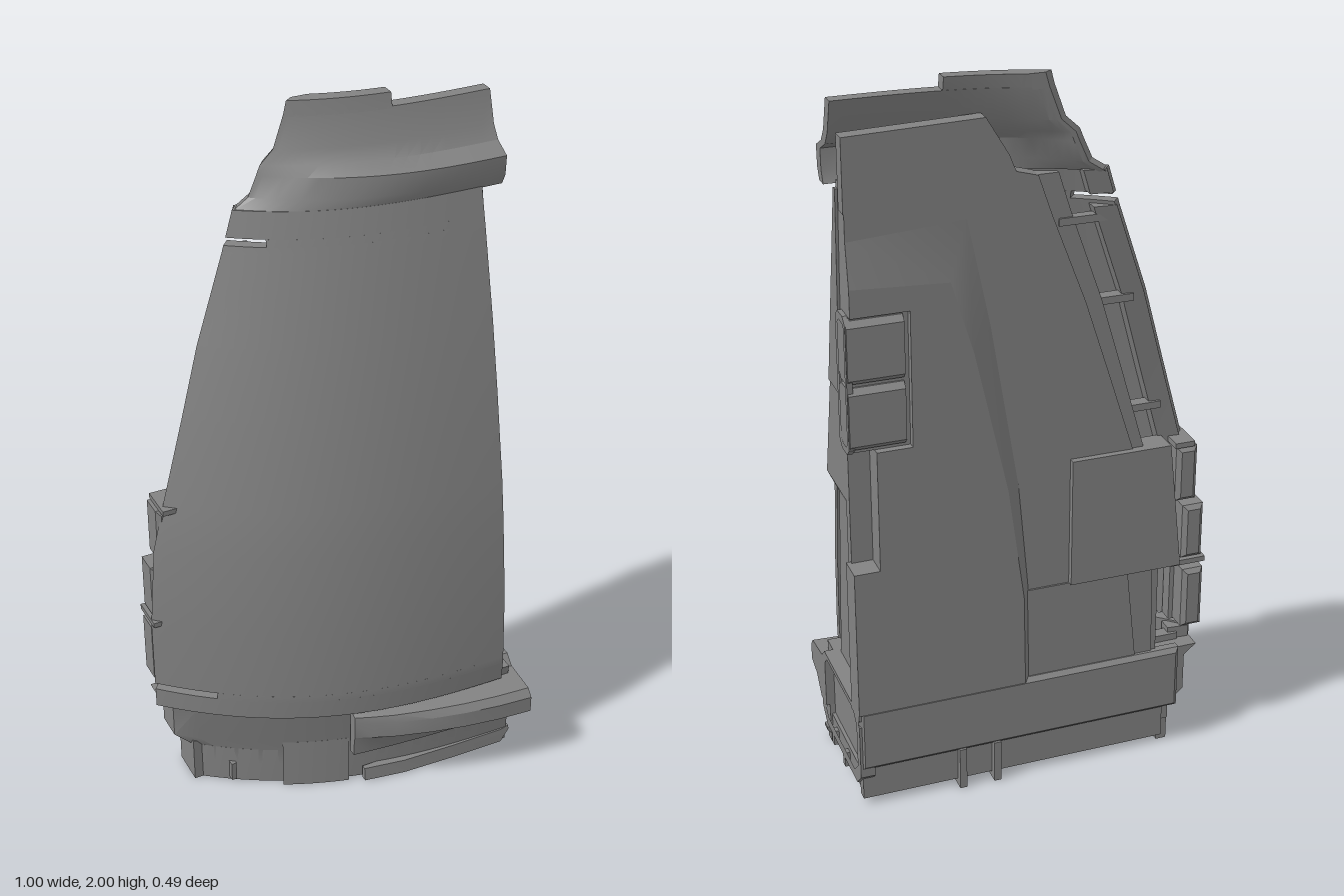
import * as THREE from 'three';
import { toCreasedNormals } from 'three/addons/utils/BufferGeometryUtils.js';

const material = new THREE.MeshStandardMaterial({ color: 0x828282 });

// Outline tables: [y, left x, left z, right z, roundness]
const SHELL = [
  [0.27, -0.5, -0.15, 0.172, 2.75], [0.345, -0.5, -0.15, 0.176, 2.75], [0.57, -0.5, -0.15, 0.165, 2.75],
  [0.81, -0.48, -0.152, 0.137, 2.75], [0.94, -0.447, -0.155, 0.118, 2.75], [1.195, -0.373, -0.17, 0.069, 2.75],
  [1.39, -0.315, -0.188, 0.028, 2.8], [1.63, -0.23, -0.205, -0.03, 2.8], [1.74, -0.195, -0.212, -0.058, 2.8],
];
const CAP = [
  [1.735, -0.195, -0.212, -0.06, 3.2], [1.765, -0.15, -0.213, -0.045, 3], [1.82, -0.125, -0.215, -0.042, 2.7],
  [1.845, -0.115, -0.215, -0.09, 2.8], [1.88, -0.077, -0.217, -0.115, 3], [1.965, -0.045, -0.222, -0.142, 3],
  [2, -0.035, -0.225, -0.15, 3],
];
const BASE = [
  [0, -0.41, -0.13, 0.128, 2.8], [0.12, -0.41, -0.13, 0.135, 2.8], [0.16, -0.455, -0.14, 0.14, 2.8],
  [0.27, -0.455, -0.14, 0.15, 2.8], [0.3, -0.49, -0.15, 0.155, 2.8],
];

function rowAt(table, y) {
  let i = 1;
  while (i < table.length - 1 && table[i][0] < y) i++;
  const a = table[i - 1], b = table[i];
  const k = (y - a[0]) / (b[0] - a[0]);
  return a.map((v, j) => v + (b[j] - v) * k);
}

function curveZ(row, x, right) {
  const t = THREE.MathUtils.clamp((x - row[1]) / (right - row[1]), 0, 1);
  return row[2] + (row[3] - row[2]) * (1 - Math.pow(1 - t, row[4]));
}

function add(group, name, geometry) {
  const mesh = new THREE.Mesh(geometry, material);
  mesh.name = name;
  group.add(mesh);
  return mesh;
}

// Skins even-length rings; each ring's first half faces its second half
function loft(rings) {
  const m = rings[0].length, n = m / 2, index = [];
  rings.slice(1).forEach((_, r) => {
    for (let i = 0; i < m; i++) {
      const a = r * m + i, b = r * m + (i + 1) % m;
      index.push(a, b, b + m, a, b + m, a + m);
    }
  });
  const top = (rings.length - 1) * m;
  for (let i = 0; i < n - 1; i++) {
    const q = [i, i + 1, m - 2 - i, m - 1 - i];
    index.push(...[0, 1, 2, 0, 2, 3].map(k => top + q[k]), ...[0, 2, 1, 0, 3, 2].map(k => q[k]));
  }
  const g = new THREE.BufferGeometry();
  g.setAttribute('position', new THREE.Float32BufferAttribute(rings.flat(2), 3));
  g.setIndex(index);
  return toCreasedNormals(g, 0.45);
}

// Curved skin of constant thickness between heights y0 and y1
function skin(table, y0, y1, right, { from = null, to = right, thick = 0.024, n = 20 } = {}) {
  const ys = [y0, ...table.map(r => r[0]).filter(y => y > y0 + 0.001 && y < y1 - 0.001), y1];
  return loft(ys.map(y => {
    const row = rowAt(table, y), x0 = from ?? row[1], front = [], back = [];
    for (let i = 0; i <= n; i++) {
      const x = x0 + (to - x0) * Math.pow(i / n, 1.25), z = curveZ(row, x, right);
      front.push([x, y, z]);
      back.unshift([x + 0.02 * (1 - i / n), y, Math.max(z - thick, -0.24)]);
    }
    return [...front, ...back];
  }));
}

// Solid behind a curved front, closed by a flat back
function wedge(table, ys, right, { inset = 0, drop = 0, to = right } = {}) {
  const n = 16, back = -0.22;
  return loft(ys.map(y => {
    const row = rowAt(table, y), x0 = row[1] + inset, front = [], rear = [];
    for (let i = 0; i <= n; i++) {
      const x = x0 + (to - x0) * i / n;
      front.push([x, y, Math.max(curveZ(row, x, right) - drop, back + 0.01)]);
      rear.unshift([x, y, back]);
    }
    return [...front, ...rear];
  }));
}

const shapeOf = pts => new THREE.Shape(pts.map(p => new THREE.Vector2(...p)));

// Flat plate drawn in x and y, spanning z0 to z1
function plate(pts, z0, z1, bevel = 0) {
  const g = new THREE.ExtrudeGeometry(shapeOf(pts), {
    depth: z1 - z0 - 2 * bevel, bevelEnabled: bevel > 0, bevelThickness: bevel,
    bevelSize: bevel, bevelOffset: -bevel, bevelSegments: 1,
  });
  return g.translate(0, 0, z0 + bevel);
}

function box(x0, x1, y0, y1, z0, z1, bevel = 0) {
  return plate([[x0, y0], [x1, y0], [x1, y1], [x0, y1]], z0, z1, bevel);
}

// Plate drawn in z and y on the straight side, spanning x0 to x1
function sidePlate(pts, x0, x1, hole) {
  const flip = list => list.map(([z, y]) => [-z, y]);
  const shape = shapeOf(flip(pts));
  if (hole) shape.holes.push(shapeOf(flip(hole)));
  const g = new THREE.ExtrudeGeometry(shape, { depth: x1 - x0, bevelEnabled: false });
  return g.rotateY(Math.PI / 2).translate(x0, 0, 0);
}

const octagon = (z0, z1, y0, y1, c) => [
  [z0 + c, y0], [z1 - c, y0], [z1, y0 + c], [z1, y1 - c], [z1 - c, y1], [z0 + c, y1], [z0, y1 - c], [z0, y0 + c],
];

export function createModel() {
  const model = new THREE.Group();

  // Curved front shell, in bands so that two slots stay open
  const shell = new THREE.Group();
  shell.name = 'frontShell';
  model.add(shell);
  [[0.28, 0.34], [0.34, 0.36, -0.36], [0.36, 1.65], [1.65, 1.67, -0.13], [1.67, 1.74]].forEach(([a, b, from], i) =>
    add(shell, 'shellBand' + (i + 1), skin(SHELL, a, b, 0.44, { from })));

  // Upper cap with bulged lip and raised tab, and the liner plate behind it
  add(model, 'upperCap', skin(CAP, 1.735, 1.965, 0.5, { thick: 0.035 }));
  add(model, 'upperTab', skin(CAP, 1.96, 2, 0.5, { to: 0.225, thick: 0.035 }));
  add(model, 'capRearPlate', plate([[0.49, 1.7], [0.49, 1.89], [0.13, 1.9], [0.07, 1.8], [0.03, 1.7]], -0.225, -0.185));

  // Inner body and the thicker upper side wall
  add(model, 'innerBody', wedge(SHELL, [0.28, 0.57, 0.81, 0.94, 1.195, 1.39, 1.63, 1.74], 0.455, { inset: 0.135, drop: 0.07, to: 0.43 }));
  add(model, 'sideWall', sidePlate([
    [0.03, 0.9], [-0.15, 0.9], [-0.15, 0.28], [-0.18, 0.28], [-0.18, 1.77], [-0.165, 1.77], [-0.04, 1.2],
  ], 0.42, 0.488));
  add(model, 'sideRaisedPanel', sidePlate([[-0.05, 1.2], [-0.15, 1.2], [-0.178, 1.75], [-0.163, 1.75]], 0.48, 0.495));

  // Recessed lower side, sloped at its top and rear
  add(model, 'lowerSideWall', sidePlate([[0.085, 0.28], [-0.15, 0.28], [-0.15, 0.92], [0.025, 0.92]], 0.42, 0.456));
  add(model, 'recessTopSlope', plate([[0.45, 0.83], [0.456, 0.83], [0.488, 0.9], [0.45, 0.905]], -0.15, 0.03));
  add(model, 'recessRearSlope', loft([0.28, 0.9].map(y => [[0.44, y, -0.1], [0.456, y, -0.1], [0.488, y, -0.15], [0.44, y, -0.15]])));
  add(model, 'sideRearRim', box(0.42, 0.5, 0.28, 0.73, -0.24, -0.17));

  // Rear plate with the side notch
  const left = [1.74, 1.63, 1.39, 1.195, 0.94, 0.81, 0.57, 0.3].map(y => [rowAt(SHELL, y)[1] + 0.14 + 0.05 * y / 1.74, y]);
  add(model, 'rearPlate', plate([
    [0.5, 0.3], [0.5, 0.73], [0.43, 0.73], [0.43, 1.07], [0.488, 1.07], [0.488, 1.77], [0.1, 1.77], ...left,
  ], -0.225, -0.18));

  // Raised rear panel and the slope around it
  const rim = [[0.488, 1.515], [0.23, 1.5], [0.17, 1.3], [0.08, 0.9], [0.035, 0.57], [0.03, 0.3]];
  const foot = [[0.488, 1.63], [0.18, 1.65], [0.12, 1.36], [0.045, 0.9], [0.015, 0.57], [0.01, 0.3]];
  add(model, 'rearRaisedPanel', plate([
    [0.5, 0.3], [0.5, 0.73], [0.43, 0.73], [0.43, 1.07], [0.335, 1.07], [0.335, 1.44], [0.488, 1.44], ...rim,
  ], -0.245, -0.2));
  add(model, 'rearPanelSlope', loft(rim.map(([x, y], i) => {
    const [u, v] = foot[i];
    return [[u, v, -0.2], [u, v, -0.225], [x, y, -0.245], [x, y, -0.2]];
  })));
  add(model, 'lowerRearStep', plate([[0.03, 0.3], [0.03, 0.58], [-0.27, 0.58], [-0.3, 0.3]], -0.23, -0.2));

  // Pair of latch blocks above the notch
  const latch = new THREE.Group();
  latch.name = 'rearLatch';
  model.add(latch);
  for (const y of [1.08, 1.26]) add(latch, 'latchBlock', sidePlate(octagon(-0.245, -0.165, y, y + 0.17, 0.015), 0.35, 0.498));
  add(latch, 'latchFrame', sidePlate(octagon(-0.24, -0.155, 1.065, 1.44, 0.02), 0.485, 0.5, octagon(-0.225, -0.175, 1.085, 1.42, 0.01)));

  // Rail behind the curved edge, broken at the slots
  const rail = new THREE.Group();
  rail.name = 'edgeRail';
  model.add(rail);
  for (const [a, b] of [[0.28, 0.335], [0.365, 1.64], [1.675, 1.74]]) {
    const ys = [a, ...SHELL.map(r => r[0]).filter(y => y > a && y < b), b];
    add(rail, 'railSegment', loft(ys.map(y => {
      const [, x, z] = rowAt(SHELL, y);
      return [[x + 0.015, y, z], [x + 0.075, y, z + 0.02], [x + 0.075, y, z - 0.02], [x + 0.015, y, z - 0.025]];
    })));
  }
  // Ribs bridging the rail and the body
  for (const y of [0.3, 0.62, 1.04, 1.37, 1.6]) {
    const [, x, z] = rowAt(SHELL, y);
    add(rail, 'rib', box(x + 0.05, x + 0.18, y, y + 0.02, Math.max(z - 0.03, -0.225), z + 0.005));
  }
  // Rear bracket and edge clips
  add(model, 'rearBracket', plate([[-0.1, 0.58], [-0.1, 0.95], [-0.38, 0.95], [-0.42, 0.58]], -0.243, -0.17));
  for (const [x, y0, y1] of [[-0.497, 0.37, 0.55], [-0.49, 0.59, 0.75], [-0.465, 0.77, 0.93]])
    add(model, 'edgeClip', box(x, x + 0.06, y0, y1, -0.235, -0.15, 0.012));
  for (const y of [0.57, 0.93]) add(model, 'edgeClipLug', box(y < 0.6 ? -0.5 : -0.455, -0.4, y, y + 0.015, -0.23, -0.13));

  // Base: hollow skirt below a solid block
  add(model, 'baseBlock', wedge(BASE, [0.07, 0.12, 0.16, 0.27, 0.3], 0.5, { to: 0.475 }));
  add(model, 'baseSkirt', skin(BASE, 0, 0.12, 0.5, { thick: 0.035, to: 0.49 }));
  add(model, 'baseRearBand', box(-0.43, 0.5, 0.12, 0.31, -0.245, -0.2, 0.012));
  add(model, 'baseRearWall', box(-0.39, 0.49, 0.02, 0.13, -0.225, -0.195));
  add(model, 'baseEndWall', box(-0.41, -0.38, 0, 0.14, -0.215, -0.11));
  add(model, 'baseSideWall', sidePlate([[0.125, 0.03], [-0.22, 0.03], [-0.22, 0.09], [0.125, 0.09]], 0.455, 0.485));
  add(model, 'baseSideFrame', sidePlate(octagon(-0.24, 0.14, 0.06, 0.3, 0.04), 0.46, 0.5, octagon(-0.215, 0.112, 0.09, 0.285, 0.035)));
  for (const x of [0.1, 0.2]) add(model, 'baseRearRib', box(x, x + 0.02, 0, 0.125, -0.245, -0.19));
  for (const z of [-0.08, 0.03]) add(model, 'baseSideLug', box(0.46, 0.5, 0.03, 0.075, z, z + 0.02));
  for (const [x, r] of [[0.3, 0.055], [0.02, 0.04]])
    add(model, 'baseFoot', new THREE.CylinderGeometry(r, r * 0.7, 0.06, 20)).position.set(x, 0.045, -0.03);

  // Lower front column and a small pin beside it
  add(model, 'lowerFrontColumn', skin(BASE.map(r => [r[0], -0.455, -0.14, 0.14, 2.8]), 0, 0.16, 0.5, { from: -0.19, to: -0.01, n: 8 }));
  add(model, 'lowerFrontPin', box(-0.32, -0.305, 0.01, 0.07, -0.09, -0.045));

  // Bumper growing toward the straight side, and a lower lip
  const bumper = [[-0.01, 0.13], [0.04, 0.152], [0.1, 0.175], [0.2, 0.203], [0.3, 0.224], [0.4, 0.238], [0.5, 0.245]];
  add(model, 'bumper', loft(bumper.map(([x, z]) => {
    const k = z - 0.12, p = (f, y) => [x, y, 0.12 + f * k], inner = y => [x, y, 0.1];
    return [p(0.85, 0.262), p(1, 0.24), p(1, 0.19), p(0.6, 0.172), p(0.25, 0.12),
      inner(0.12), inner(0.17), inner(0.19), inner(0.24), inner(0.275)];
  })));
  add(model, 'lowerLip', loft([[0.03, 0.118], [0.15, 0.136], [0.3, 0.14], [0.47, 0.14], [0.5, 0.132]].map(([x, z], i) => {
    const low = i === 4 ? 0.035 : 0.003;
    return [[x, 0.045, z - 0.004], [x, low, z], [x, low, 0.1], [x, 0.045, 0.1]];
  })));
  return model;
}
